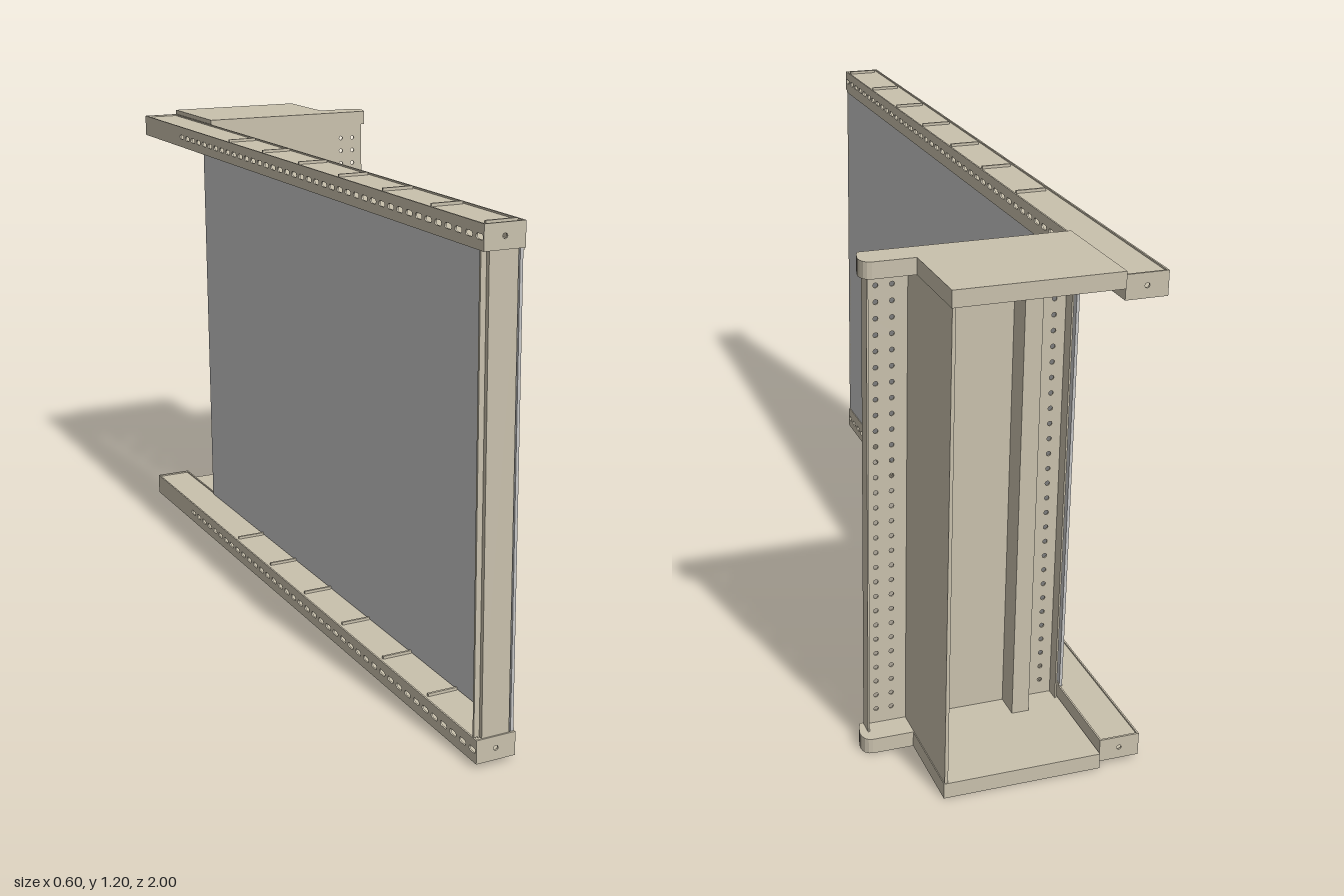
import * as THREE from 'three';

const beige = new THREE.MeshStandardMaterial({ color: 0xc9c1ad });
beige.name = 'beige painted metal';
const grey = new THREE.MeshStandardMaterial({ color: 0xc8c8c8 });
grey.name = 'light grey panel';

// Box given by its minimum and maximum corners
function box(parent, name, x0, x1, y0, y1, z0, z1, material = beige) {
  const mesh = new THREE.Mesh(new THREE.BoxGeometry(x1 - x0, y1 - y0, z1 - z0), material);
  mesh.position.set((x0 + x1) / 2, (y0 + y1) / 2, (z0 + z1) / 2);
  mesh.name = name;
  parent.add(mesh);
  return mesh;
}

function rectangle(x0, x1, y0, y1) {
  return new THREE.Shape([[x0, y0], [x1, y0], [x1, y1], [x0, y1]].map(p => new THREE.Vector2(...p)));
}

function roundHole(shape, x, y, r) {
  const hole = new THREE.Path();
  hole.absarc(x, y, r, 0, Math.PI * 2, true);
  shape.holes.push(hole);
}

function slotHole(shape, x, y, length, r) {
  const hole = new THREE.Path();
  const h = length / 2 - r;
  hole.absarc(x + h, y, r, Math.PI / 2, -Math.PI / 2, true);
  hole.absarc(x - h, y, r, -Math.PI / 2, Math.PI / 2, true);
  hole.closePath();
  shape.holes.push(hole);
}

function extrude(parent, name, shape, depth) {
  const geometry = new THREE.ExtrudeGeometry(shape, { depth, bevelEnabled: false, curveSegments: 4 });
  const mesh = new THREE.Mesh(geometry, beige);
  mesh.name = name;
  parent.add(mesh);
  return mesh;
}

// Hollow rail along z with slotted side walls, cross strips and end caps
function rail(y0, y1) {
  const g = new THREE.Group();
  const t = 0.004, left = -0.3, right = -0.203;
  for (const x of [left, right - t]) {
    const shape = rectangle(-1, 0.99, y0, y1);
    for (let i = 0; i < 40; i++) slotHole(shape, -0.982 + i * 0.0428, (y0 + y1) / 2, 0.028, 0.006);
    const wall = extrude(g, 'slottedRailWall', shape, t);
    wall.rotation.y = Math.PI / 2;
    wall.position.x = x;
  }
  for (const y of [y0 + 0.004, y1 - 0.008]) {
    box(g, 'railWeb', left + t, right - t, y, y + 0.004, -0.99, 1);
  }
  for (let i = 0; i < 7; i++) {
    const z = -0.365 + i * 0.2242;
    for (const y of [y0 - 0.003, y1 - 0.004]) {
      box(g, 'railCrossStrip', -0.287, -0.212, y, y + 0.007, z - 0.003, z + 0.003);
    }
  }
  // caps with a small bolt hole
  for (const z of [-0.99, 0.995]) {
    const shape = rectangle(left, right, y0, y1);
    roundHole(shape, (left + right) / 2, (y0 + y1) / 2, 0.006);
    extrude(g, 'railEndCap', shape, 0.005).position.z = z;
  }
  return g;
}

// Flat end plate with a round-ended lip on the model's left
function endPlate(y) {
  const s = new THREE.Shape();
  s.moveTo(-0.2, 0.715);
  s.lineTo(0.285, 0.715);
  s.quadraticCurveTo(0.293, 0.73, 0.297, 0.755);
  s.quadraticCurveTo(0.297, 0.785, 0.275, 0.787);
  s.lineTo(0.177, 0.787);
  s.lineTo(0.177, 1);
  s.lineTo(-0.2, 1);
  s.closePath();
  const mesh = extrude(new THREE.Group(), 'columnEndPlate', s, 0.038);
  mesh.rotation.x = -Math.PI / 2;
  mesh.position.y = y;
  return mesh;
}

export function createModel() {
  const model = new THREE.Group();
  model.name = 'panelFrameWithColumn';

  // Side frame
  const frame = new THREE.Group();
  frame.name = 'sideFrame';
  for (const [name, y0, y1] of [['bottomRail', 0.012, 0.068], ['topRail', 1.132, 1.188]]) {
    const r = rail(y0, y1);
    r.name = name;
    frame.add(r);
  }
  box(frame, 'frontPostPlate', -0.285, -0.217, 0.068, 1.132, 0.985, 0.996);
  box(frame, 'frontPostFlange', -0.298, -0.205, 0.068, 1.132, 0.979, 0.985);
  box(frame, 'infillPanel', -0.212, -0.205, 0.066, 1.134, -0.75, 0.994, grey);
  for (const y of [0.068, 1.126]) {
    box(frame, 'panelEdgeTrim', -0.206, -0.203, y, y + 0.006, -0.75, 0.994);
  }
  model.add(frame);

  // Column with perforated front
  const column = new THREE.Group();
  column.name = 'column';
  column.add(endPlate(0.001), endPlate(1.161));

  const front = rectangle(-0.196, 0.277, 0.039, 1.161);
  for (let i = 0; i < 29; i++) {
    for (const x of [-0.165, -0.128, 0.21, 0.247]) roundHole(front, x, 0.076 + i * 0.0374, 0.0058);
  }
  extrude(column, 'perforatedFront', front, 0.004).position.z = -0.722;

  const upright = (name, x0, x1, z0, z1) => box(column, name, x0, x1, 0.039, 1.161, z0, z1);
  upright('leftFrontFlange', 0.273, 0.277, -0.755, -0.722);
  upright('rightFrontFlange', -0.196, -0.192, -0.755, -0.722);
  upright('sideWall', 0.167, 0.175, -0.998, -0.722);
  upright('stiffenerFace', 0.12, 0.167, -0.79, -0.784);
  upright('stiffenerWeb', 0.12, 0.126, -0.784, -0.722);
  upright('rightStud', -0.112, -0.07, -0.785, -0.722);
  model.add(column);

  return model;
}
